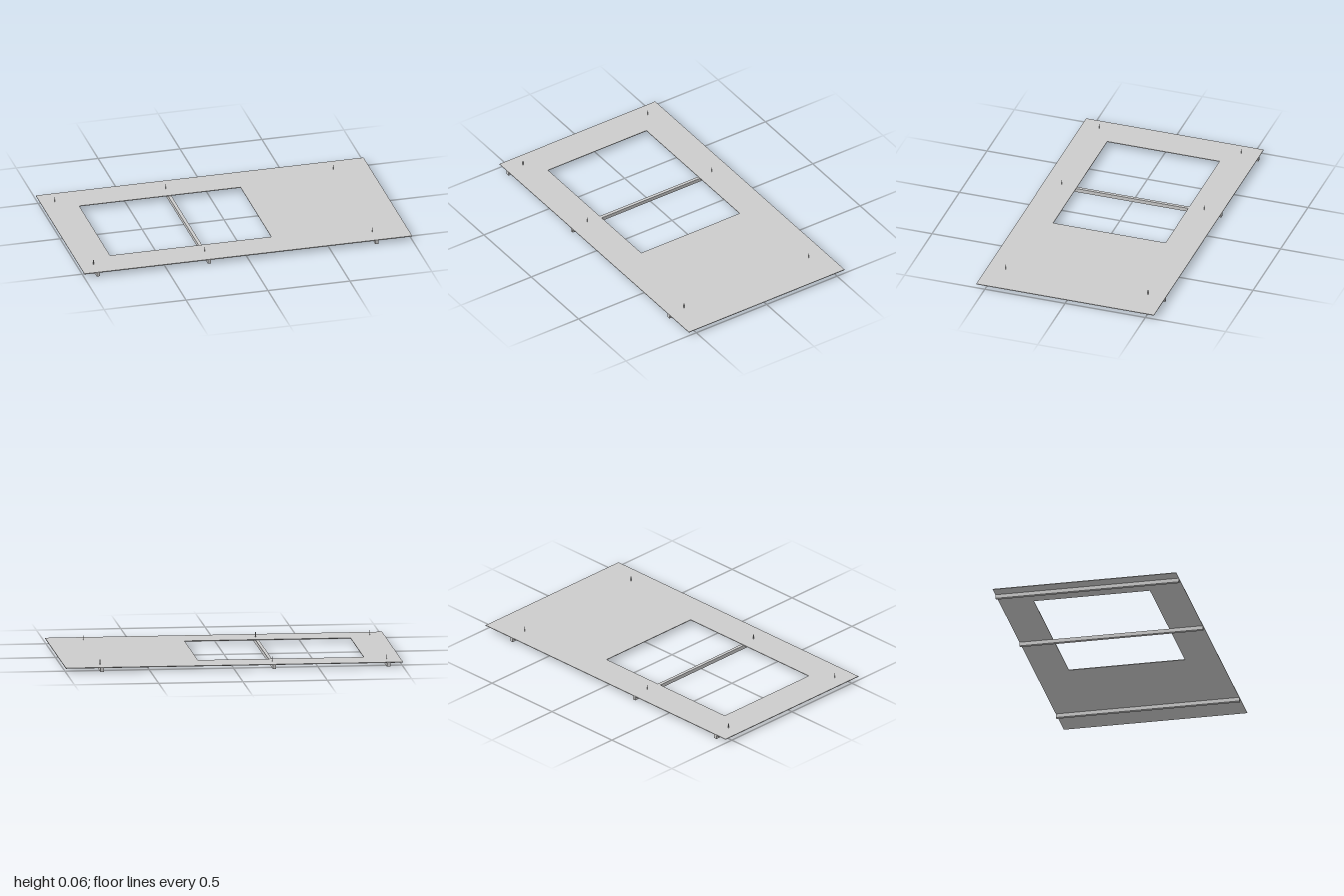
import * as THREE from 'three';

export function createModel() {
  const group = new THREE.Group();
  const material = new THREE.MeshStandardMaterial({ color: 0xcccccc, flatShading: true });
  const add = (name, geometry, x, y, z) => {
    const mesh = new THREE.Mesh(geometry, material);
    mesh.name = name;
    mesh.position.set(x, y, z);
    group.add(mesh);
    return mesh;
  };
  const halfDepth = 0.553, railTop = 0.023, panelTop = 0.027, pinTop = 0.056;

  // Closed rectangular outline
  const rect = (PathType, x0, x1, y0, y1) => new PathType([
    new THREE.Vector2(x0, y0), new THREE.Vector2(x1, y0),
    new THREE.Vector2(x1, y1), new THREE.Vector2(x0, y1),
  ]);

  // Thin panel with a rectangular opening
  const outline = rect(THREE.Shape, -1, 1, -halfDepth, halfDepth);
  outline.holes.push(rect(THREE.Path, -0.79, 0.195, -0.35, 0.35));
  const panel = new THREE.ExtrudeGeometry(outline, { depth: panelTop - railTop, bevelEnabled: false });
  panel.rotateX(-Math.PI / 2);
  add('panel', panel, 0, railTop, 0);

  // Support rails under the panel, each with two pins standing through it
  const rail = new THREE.BoxGeometry(0.02, railTop, halfDepth * 2);
  const pin = new THREE.CylinderGeometry(0.002, 0.002, pinTop - railTop, 8);
  for (const x of [-0.915, -0.237, 0.785]) {
    add('supportRail', rail, x, railTop / 2, 0);
    for (const z of [-0.443, 0.443]) add('pin', pin, x, (pinTop + railTop) / 2, z);
  }
  return group;
}
